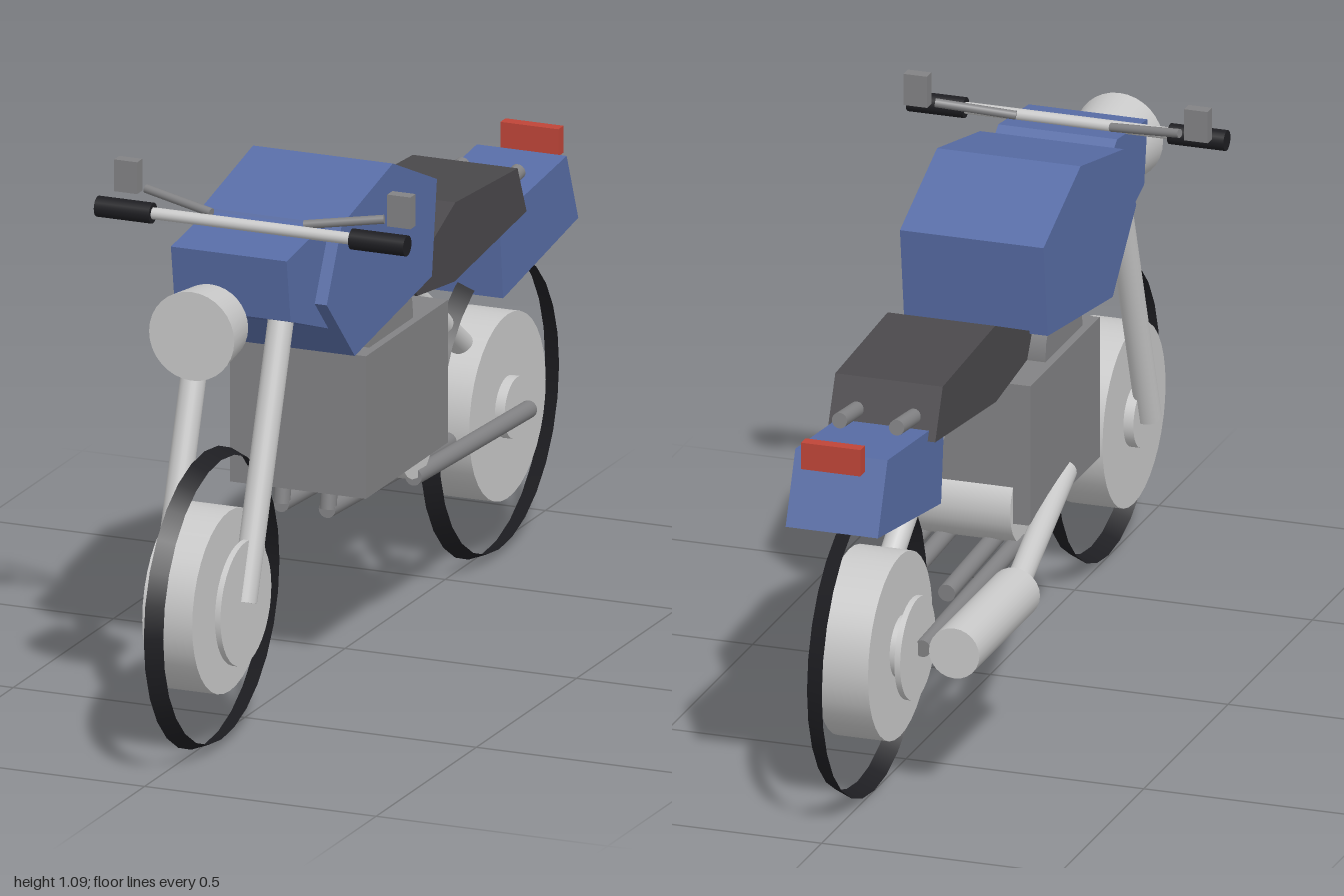
import * as THREE from 'three';

const mat = (name, color, side = THREE.FrontSide) => {
  const m = new THREE.MeshStandardMaterial({ color, side });
  m.name = name;
  return m;
};

export function createModel() {
  const root = new THREE.Group();
  root.name = 'motorcycle';
  const blue = mat('blue paint', 0x586da6);
  const silver = mat('light metal', 0xc9c9c9);
  const gray = mat('engine gray', 0x828284);
  const dark = mat('seat charcoal', 0x4a484b);
  const black = mat('rubber black', 0x1e1e22, THREE.DoubleSide);
  const red = mat('lamp red', 0xbf4538);

  const add = (name, geo, material, parent = root) => {
    const m = new THREE.Mesh(geo, material);
    m.name = name;
    parent.add(m);
    return m;
  };
  // Side profile of [z, y] points, extruded across x
  const panel = (name, pts, half, material) => {
    const shape = new THREE.Shape(pts.map(([z, y]) => new THREE.Vector2(z, y)));
    const geo = new THREE.ExtrudeGeometry(shape, { depth: half * 2, bevelEnabled: false });
    geo.translate(0, 0, -half).rotateY(-Math.PI / 2);
    return add(name, geo, material);
  };
  // Round bar between two points
  const rod = (name, a, b, r, material, rEnd = r, seg = 20) => {
    const p = new THREE.Vector3(...a), q = new THREE.Vector3(...b);
    const d = q.clone().sub(p);
    const m = add(name, new THREE.CylinderGeometry(rEnd, r, d.length(), seg), material);
    m.position.copy(p).add(q).multiplyScalar(0.5);
    m.quaternion.setFromUnitVectors(new THREE.Vector3(0, 1, 0), d.normalize());
    return m;
  };
  const box = (name, [x, y, z], [w, h, d], material) => {
    const m = add(name, new THREE.BoxGeometry(w, h, d), material);
    m.position.set(x, y, z);
    return m;
  };

  // Wheels: thin one-sided tyre band, thick drum, hub and brake disc
  const wheel = (name, y, z, rTire, rDrum, rDisc, discX) => {
    const g = new THREE.Group();
    g.name = name;
    g.position.set(0, y, z);
    root.add(g);
    const disc = (part, r, x0, x1, material, rOut = r, open = false, seg = 36) => {
      const geo = new THREE.CylinderGeometry(rOut, r, x1 - x0, seg, 1, open);
      geo.rotateZ(-Math.PI / 2).translate((x0 + x1) / 2, 0, 0);
      add(part, geo, material, g);
    };
    disc('tire', rTire, 0, 0.036, black, rTire - 0.014, true, 28);
    disc('drum', rDrum, -0.054, 0.054, silver);
    disc('hub', 0.063, -0.075, 0.075, silver);
    disc('brakeDisc', rDisc, discX - 0.006, discX + 0.006, silver);
  };
  wheel('frontWheel', 0.309, 0.7, 0.304, 0.187, 0.127, 0.083);
  wheel('rearWheel', 0.316, -0.686, 0.313, 0.191, 0.105, -0.085);

  // Bodywork
  panel('fuelTank', [[0.365, 1.005], [0.11, 1.06], [-0.11, 0.965], [-0.085, 0.77], [0.3, 0.715], [0.44, 0.86]], 0.151, blue);
  panel('frontFairing', [[0.58, 0.988], [0.4, 1.01], [0.365, 0.985], [0.36, 0.785], [0.56, 0.857]], 0.125, blue);
  panel('seat', [[-0.07, 0.77], [-0.29, 0.86], [-0.6, 0.842], [-0.645, 0.74], [-0.285, 0.697], [-0.1, 0.72]], 0.113, dark);
  panel('tail', [[-0.55, 0.72], [-0.565, 0.58], [-0.94, 0.64], [-0.882, 0.785], [-0.61, 0.757]], 0.097, blue);
  box('tailLight', [0, 0.797, -0.933], [0.125, 0.056, 0.026], red);

  // Engine
  box('engineBlock', [0, 0.547, 0.03], [0.294, 0.296, 0.41], gray);
  rod('engineHead', [-0.13, 0.7, 0.07], [0.13, 0.7, 0.07], 0.11, gray);
  rod('gearbox', [-0.11, 0.425, -0.107], [0.11, 0.425, -0.107], 0.085, silver);

  // Exhaust
  rod('exhaustPipe', [-0.135, 0.43, 0.06], [-0.19, 0.34, -0.4], 0.025, silver);
  rod('muffler', [-0.19, 0.34, -0.39], [-0.19, 0.34, -0.75], 0.053, silver, 0.053, 24);

  // Steering and lamp
  rod('headlight', [0, 0.87, 0.67], [0, 0.87, 0.765], 0.081, silver, 0.092, 32);
  rod('handlebar', [-0.33, 1.012, 0.461], [0.33, 1.012, 0.461], 0.012, silver);
  rod('rearShock', [0, 0.69, -0.265], [0, 0.455, -0.6], 0.025, silver);

  // Mirrored pairs
  for (const s of [-1, 1]) {
    rod('forkLeg', [s * 0.085, 0.31, 0.7], [s * 0.085, 0.9, 0.497], 0.026, silver);
    rod('grip', [s * 0.215, 1.012, 0.461], [s * 0.334, 1.012, 0.461], 0.021, black);
    rod('mirrorStem', [s * 0.1, 1.02, 0.435], [s * 0.257, 1.04, 0.398], 0.009, gray);
    box('mirror', [s * 0.295, 1.064, 0.4], [0.05, 0.066, 0.026], gray);
    rod('swingarm', [s * 0.1, 0.34, -0.11], [s * 0.1, 0.316, -0.686], 0.018, gray);
    rod('grabBar', [s * 0.06, 0.775, -0.58], [s * 0.06, 0.793, -0.725], 0.016, gray);
    rod('headerPipe', [s * 0.05, 0.42, 0.19], [s * 0.05, 0.357, 0.2], 0.017, gray);
    rod('lowerPipe', [s * 0.05, 0.357, 0.205], [s * 0.05, 0.325, -0.4], 0.018, gray);
  }
  return root;
}
